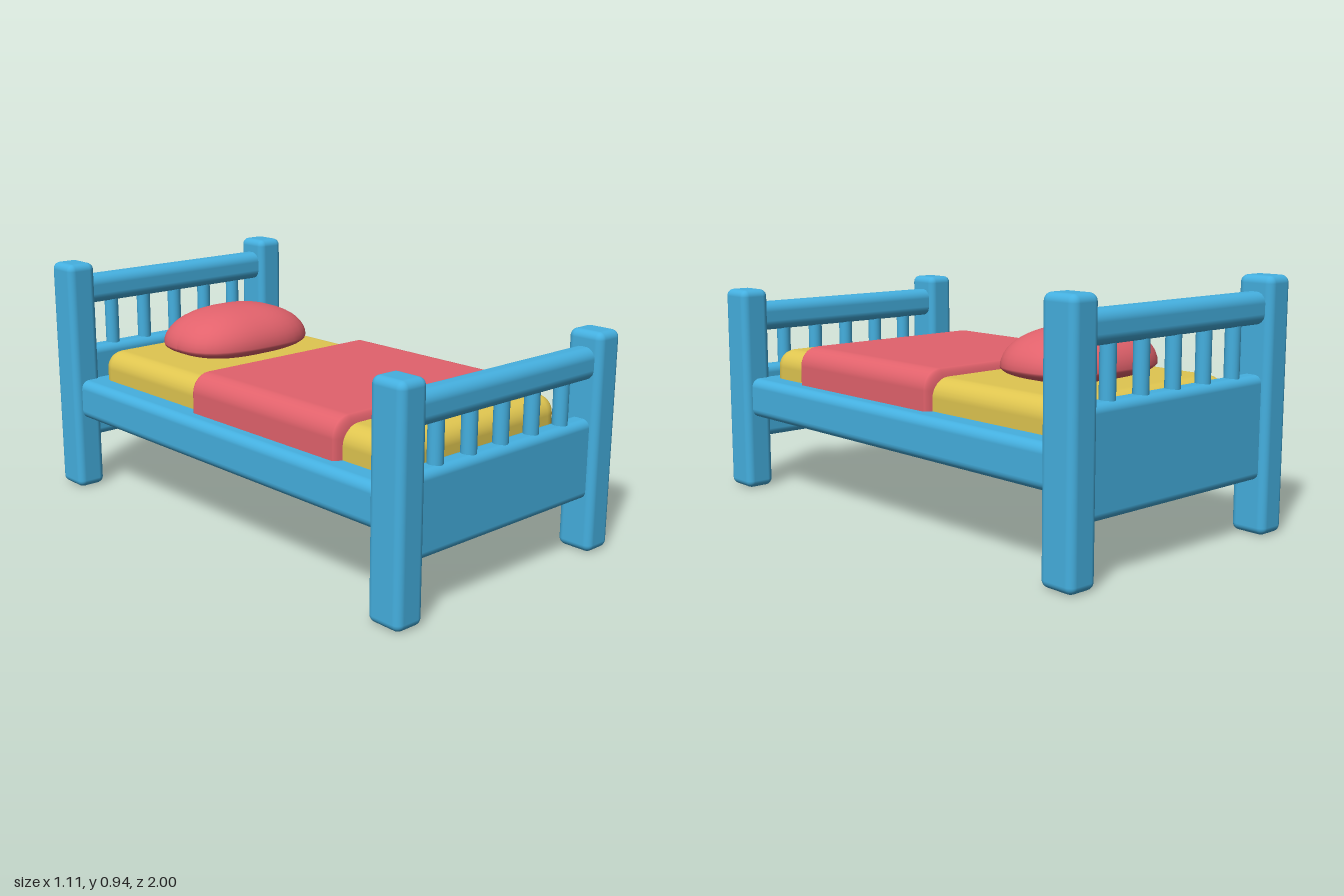
import * as THREE from 'three';
import { RoundedBoxGeometry } from 'three/addons/geometries/RoundedBoxGeometry.js';

const material = (name, color) => {
  const m = new THREE.MeshStandardMaterial({ color });
  m.name = name;
  return m;
};

export function createModel() {
  const bed = new THREE.Group();
  bed.name = 'bed';
  const blue = material('blue wood', 0x45b0e0);
  const yellow = material('yellow mattress', 0xe0c650);
  const red = material('red bedding', 0xe2626c);

  const add = (parent, name, geometry, mat, x, y, z) => {
    const mesh = new THREE.Mesh(geometry, mat);
    mesh.name = name;
    mesh.position.set(x, y, z);
    parent.add(mesh);
    return mesh;
  };
  // Rounded box placed by its vertical range
  const block = (parent, name, mat, w, y0, y1, d, r, z) =>
    add(parent, name, new RoundedBoxGeometry(w, y1 - y0, d, 4, r), mat, 0, (y0 + y1) / 2, z);

  // Headboard and footboard: posts, panel, top rail and spindles
  const endBoard = (name, side, postTop, panelTop, railBottom, railTop) => {
    const board = new THREE.Group();
    board.name = name;
    bed.add(board);
    for (const s of [-1, 1]) {
      block(board, 'post', blue, 0.12, 0, postTop, 0.145, 0.028, side * 0.9275).position.x = s * 0.496;
    }
    const z = side * 0.926;
    block(board, 'panel', blue, 0.96, 0.205, panelTop, 0.09, 0.03, z);
    block(board, 'topRail', blue, 0.96, railBottom, railTop, 0.1, 0.04, z);
    const height = railBottom - panelTop + 0.06;
    for (let i = -2; i <= 2; i++) {
      add(board, 'spindle', new THREE.CylinderGeometry(0.028, 0.028, height, 20), blue,
        i * 0.161, (railBottom + panelTop) / 2, z);
    }
  };
  endBoard('footboard', 1, 0.825, 0.505, 0.65, 0.768);
  endBoard('headboard', -1, 0.942, 0.588, 0.768, 0.885);

  // Base and mattress
  block(bed, 'base', blue, 1.055, 0.3, 0.46, 1.8, 0.035, 0);
  block(bed, 'mattress', yellow, 0.865, 0.36, 0.578, 1.69, 0.07, -0.003);

  // Blanket: wide rounding along the sides, tight rounding at the ends
  const blanket = new RoundedBoxGeometry(0.925, 0.25, 0.81 * 3, 5, 0.075);
  blanket.scale(1, 1, 1 / 3);
  add(bed, 'blanket', blanket, red, -0.002, 0.485, 0.21);

  // Pillow: squared-off ellipsoid, flatter underneath
  const pillow = new THREE.SphereGeometry(1, 40, 24);
  const p = pillow.attributes.position;
  for (let i = 0; i < p.count; i++) {
    const x = p.getX(i), y = p.getY(i), z = p.getZ(i);
    const r = Math.hypot(x, z);
    const n = 2.7;
    const square = r > 1e-6
      ? r / Math.pow(Math.pow(Math.abs(x), n) + Math.pow(Math.abs(z), n), 1 / n) : 1;
    const swell = Math.pow(Math.max(r, 1e-6), -0.1);
    p.setXYZ(i, x * square * swell * 0.3, y * (y > 0 ? 0.142 : 0.056), z * square * swell * 0.217);
  }
  pillow.computeVertexNormals();
  add(bed, 'pillow', pillow, red, 0, 0.625, -0.497);

  return bed;
}
